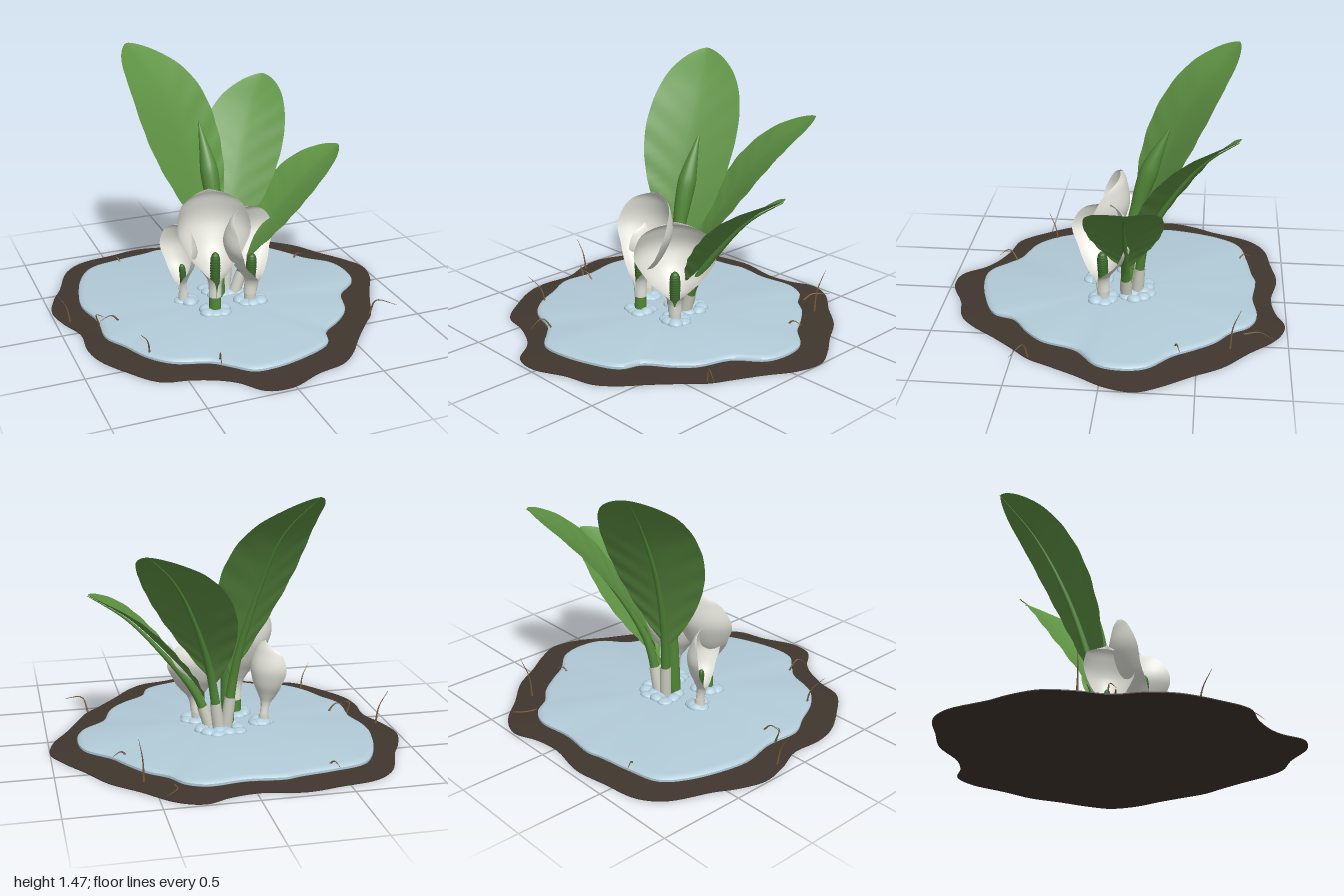
import * as THREE from 'three';
import { toCreasedNormals } from 'three/addons/utils/BufferGeometryUtils.js';

const V = (p) => new THREE.Vector3(...p);
const mat = (name, color, side = THREE.FrontSide) => {
  const m = new THREE.MeshStandardMaterial({ color, side });
  m.name = name;
  return m;
};
const spline = (pts, closed = false) => new THREE.CatmullRomCurve3(pts.map(V), closed, 'centripetal');

// Surface from a rule fn(u, v) -> Vector3; wrap joins the last column to the first.
function surface(nu, nv, fn, wrap = false) {
  const pos = [], idx = [], cols = wrap ? nv : nv + 1;
  for (let i = 0; i <= nu; i++)
    for (let j = 0; j < cols; j++) pos.push(...fn(i / nu, j / nv).toArray());
  for (let i = 0; i < nu; i++)
    for (let j = 0; j < nv; j++) {
      const k = (j + 1) % cols, a = i * cols + j, b = i * cols + k, c = a + cols, d = b + cols;
      idx.push(a, c, b, b, c, d);
    }
  const g = new THREE.BufferGeometry();
  g.setAttribute('position', new THREE.Float32BufferAttribute(pos, 3));
  g.setIndex(idx);
  g.computeVertexNormals();
  return g;
}

// Round rod along a curve, from 0 to end, with radius rule r(t).
function rod(curve, r, end = 1, nu = 24, nv = 12) {
  const ref = new THREE.Vector3(0.58, 0.1, 0.8);
  return surface(nu, nv, (u, v) => {
    const T = curve.getTangentAt(u * end), a = v * Math.PI * 2;
    const N = T.clone().cross(ref).normalize(), B = T.clone().cross(N);
    return curve.getPointAt(u * end)
      .addScaledVector(N, r(u) * Math.cos(a)).addScaledVector(B, -r(u) * Math.sin(a));
  }, true);
}

// Flat body from an outline: rings are [scale, height] from bottom centre to top centre.
function slab(outline, rings) {
  const curve = spline(outline.map(([x, z]) => [x, 0, z]), true);
  const g = surface(rings.length - 1, 180, (u, v) => {
    const [s, y] = rings[Math.round(u * (rings.length - 1))];
    const p = curve.getPoint(v);
    return new THREE.Vector3(p.x * s, y, p.z * s);
  }, true);
  return toCreasedNormals(g, 0.7);
}

const shoreLine = [
  [0.28, -0.99], [0.42, -0.94], [0.58, -0.78], [0.73, -0.64], [0.83, -0.48], [0.94, -0.32], [1, -0.19],
  [0.97, -0.03], [0.88, 0.13], [0.81, 0.27], [0.74, 0.41], [0.65, 0.51], [0.54, 0.64], [0.43, 0.78],
  [0.33, 0.86], [0.17, 0.9], [-0.02, 0.98], [-0.16, 0.96], [-0.26, 0.84], [-0.34, 0.78], [-0.48, 0.72],
  [-0.64, 0.68], [-0.77, 0.53], [-0.88, 0.35], [-0.91, 0.21], [-0.9, 0.03], [-0.96, -0.13], [-0.99, -0.29],
  [-0.94, -0.45], [-0.88, -0.56], [-0.78, -0.79], [-0.66, -0.89], [-0.45, -0.93], [-0.25, -0.96],
  [-0.02, -0.92], [0.14, -0.94]];
const waterLine = [
  [0.24, -0.83], [0.35, -0.78], [0.42, -0.68], [0.52, -0.6], [0.61, -0.48], [0.68, -0.37], [0.81, -0.24],
  [0.84, -0.11], [0.81, 0.03], [0.67, 0.16], [0.6, 0.35], [0.51, 0.45], [0.38, 0.55], [0.33, 0.67],
  [0.14, 0.76], [-0.05, 0.8], [-0.16, 0.79], [-0.26, 0.7], [-0.34, 0.63], [-0.53, 0.56], [-0.64, 0.45],
  [-0.72, 0.29], [-0.79, 0.16], [-0.78, -0.05], [-0.82, -0.24], [-0.8, -0.4], [-0.73, -0.61],
  [-0.64, -0.73], [-0.45, -0.78], [-0.26, -0.81], [-0.18, -0.83], [0.03, -0.81]];

export function createModel() {
  const model = new THREE.Group();
  const mud = mat('mud brown', 0x40362e);
  const water = mat('water blue', 0xb2cbd8);
  const foam = mat('ripple blue', 0xb4cfde);
  const leafGreen = mat('leaf green', 0x5f9344, THREE.DoubleSide);
  const stalkGreen = mat('stalk green', 0x528738);
  const coneGreen = mat('spadix green', 0x3c6a2b);
  const white = mat('petal white', 0xe2e2da, THREE.DoubleSide);
  const sheathWhite = mat('sheath white', 0xd2d3c6);
  const twigBrown = mat('twig brown', 0x7a5c3e);
  const add = (name, geo, material, parent = model) => {
    const m = new THREE.Mesh(geo, material);
    m.name = name;
    parent.add(m);
    return m;
  };
  const group = (name) => {
    const g = new THREE.Group();
    g.name = name;
    model.add(g);
    return g;
  };

  // Pond
  add('mudBank', slab(shoreLine, [[0, 0], [1, 0], [1, 0.005], [0.86, 0.016], [0, 0.016]]), mud);
  add('pondWater', slab(waterLine,
    [[0, 0.012], [0.98, 0.012], [1, 0.022], [1, 0.035], [0.985, 0.046], [0.96, 0.05], [0, 0.05]]), water);

  // Broad leaves: stalk with midrib, pale sheath at the foot, folded rippled blade
  function leaf(name, pts, W, start, fold) {
    const g = group(name), curve = spline(pts);
    const out = V(pts[pts.length - 1]).sub(V(pts[0]));
    const S = new THREE.Vector3(out.z, 0, -out.x * 0.8).normalize();
    const rib = (t) => 0.03 * (1 - t) ** 1.2 + 0.002;
    add('stalk', rod(curve, rib, 1, 32), stalkGreen, g);
    add('sheath', rod(curve, (t) => 0.036 - 0.004 * t, 0.13, 8), sheathWhite, g);
    add('blade', surface(48, 24, (u, v) => {
      const t = 1 - (1 - u) ** 1.7, c = start + (1 - start) * t, k = v * 2 - 1, e = Math.abs(k);
      const w = W * t ** 0.9 * (1 - t) ** 0.68 / 0.34;
      const N = curve.getTangentAt(c).cross(S).normalize();
      const lift = rib(c) * 1.05 + 0.002 + fold * w * e ** 1.5 + 0.005 * e * (1 - t) * Math.sin(48 * t - 7 * e);
      return curve.getPointAt(c).addScaledVector(S, w * k).addScaledVector(N, lift);
    }), leafGreen, g);
  }
  leaf('tallLeaf', [[-0.01, 0.04, -0.12], [-0.06, 0.45, -0.17], [-0.15, 0.9, -0.31],
    [-0.24, 1.25, -0.49], [-0.37, 1.47, -0.68]], 0.283, 0.2, 0.1);
  leaf('middleLeaf', [[0.03, 0.04, -0.13], [0.09, 0.4, -0.18], [0.24, 0.82, -0.38],
    [0.36, 1.04, -0.53], [0.5, 1.2, -0.68]], 0.25, 0.2, 0.1);
  leaf('lowLeaf', [[0.07, 0.04, -0.07], [0.15, 0.25, -0.07], [0.36, 0.53, -0.08],
    [0.55, 0.73, -0.09], [0.76, 0.88, -0.12]], 0.22, 0.16, 0.17);

  // Young leaf still rolled up
  add('rolledLeaf', rod(spline([[-0.03, 0.04, -0.07], [-0.03, 0.45, -0.1], [-0.04, 0.8, -0.19], [-0.06, 1.07, -0.31]]),
    (t) => (t < 0.5 ? 0.04 : 0.04 + 0.014 * Math.sin((t - 0.5) * 6.28)) * Math.min(1, (1 - t) * 3.6) ** 0.8, 1, 40, 16),
    stalkGreen);

  // Flowers: a tube that opens into a hooded cup round a blunt spadix
  const cup = spline([[0.036, 3.14, 0], [0.038, 3, 0.12], [0.085, 2, 0.29], [0.155, 1.6, 0.46],
    [0.203, 1.5, 0.64], [0.2, 1.15, 0.86], [0.18, 0.65, 0.96], [0.165, 0, 1]]);
  function flower(name, [x, y, z], azimuth, s, H, lean, spadixH, stemMat) {
    const g = group(name);
    g.position.set(x, y, z);
    g.rotation.y = azimuth;
    add('spathe', surface(40, 32, (u, v) => {
      const p = cup.getPoint(u), k = v * 2 - 1, a = k * p.y;
      const r = p.x * s * (1 + 0.06 * p.z * k * k);
      return new THREE.Vector3(r * Math.sin(a), p.z * H - 0.02 * p.z * k * k,
        lean * p.z ** 1.3 - r * Math.cos(a));
    }), white, g);
    add('spadix', rod(spline([[0, 0.04, 0], [0, 0.12, 0.003], [0, spadixH, 0.01]]),
      (t) => s * (0.026 + 0.005 * t + 0.0012 * Math.sin(t * 90)) * Math.sqrt(Math.max(0, 1 - t ** 8)), 1, 48, 14),
      coneGreen, g);
    add('stem', new THREE.CylinderGeometry(0.034 * s ** 0.5, 0.036, y - 0.02, 16)
      .translate(0, -(y - 0.02) / 2 + 0.015, 0), stemMat, g);
  }
  flower('frontFlower', [-0.12, 0.14, 0.11], -0.08, 1, 0.62, 0.04, 0.28, stalkGreen);
  flower('leftSideFlower', [0.12, 0.1, 0.06], 0.78, 1.08, 0.53, 0.12, 0.25, sheathWhite);
  flower('rightSideFlower', [-0.25, 0.09, -0.07], -1.2, 0.66, 0.46, 0.12, 0.2, sheathWhite);

  // Low swells where stems leave the water
  const ripples = group('ripples');
  const blob = new THREE.SphereGeometry(1, 16, 8);
  [[-0.12, 0.11, 0.055], [0.12, 0.06, 0.055], [-0.23, -0.07, 0.03], [-0.02, -0.13, 0.07], [0.06, -0.13, 0.07],
  ].forEach(([x, z, ring], n) => {
    for (let i = 0; i < 7; i++) {
      const a = i * Math.PI / 3.5 + n * 0.7, r = ring + 0.01 * Math.sin(i * 2.3 + n);
      const m = add('ripple', blob, foam, ripples);
      m.position.set(x + r * Math.cos(a), 0.05, z + r * Math.sin(a));
      m.scale.set(0.04 + 0.006 * Math.sin(i * 3 + n), 0.024 + 0.006 * Math.cos(i * 1.7), 0.046);
      m.rotation.y = -a;
    }
  });

  // Dry twigs round the shore
  [[[0.55, 0.01, -0.68], [0.555, 0.14, -0.69], [0.58, 0.27, -0.73]],
    [[-0.62, 0.01, 0.43], [-0.635, 0.12, 0.45], [-0.69, 0.2, 0.5]],
    [[-0.92, 0, -0.13], [-0.94, 0.11, -0.125], [-0.995, 0.2, -0.12]],
    [[0.73, 0.01, 0.41], [0.76, 0.1, 0.43], [0.86, 0.08, 0.49]],
    [[-0.67, 0.04, 0.02], [-0.72, 0.09, 0.03], [-0.79, 0.07, 0.04]],
    [[-0.44, 0.04, -0.73], [-0.46, 0.07, -0.76], [-0.48, 0.05, -0.8]],
    [[-0.29, 0.03, 0.63], [-0.31, 0.11, 0.69], [-0.33, 0.06, 0.76]],
    [[0.6, 0.04, -0.38], [0.63, 0.07, -0.39], [0.68, 0.05, -0.41]],
    [[0.4, 0.01, -0.75], [0.4, 0.03, -0.84], [0.47, 0.03, -0.92]],
    [[-0.78, 0.02, 0], [-0.8, 0.1, 0.01], [-0.76, 0.09, 0.04]],
  ].forEach((p) => add('twig', rod(spline(p), (t) => 0.0055 * (1 - t) + 0.0008, 1, 12, 6), twigBrown));

  return model;
}
